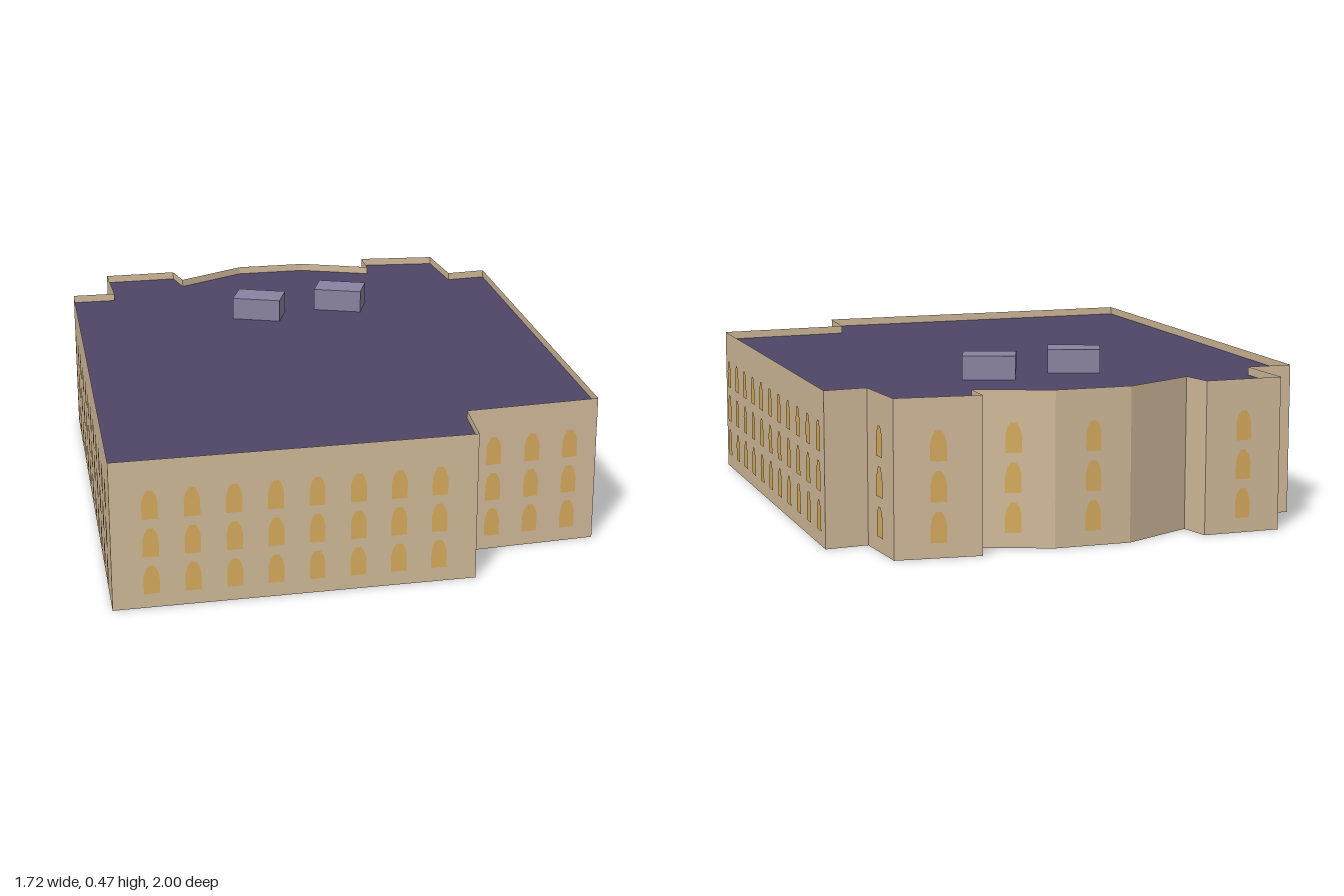
import * as THREE from 'three';

const WALL_TOP = 0.43, ROOF_Y = 0.407;

// Footprint corners [x, z, window columns on the wall that starts here]
const FOOTPRINT = [
  [-0.383, 0.995, 8], [0.558, 0.62, 1], [0.507, 0.452, 3], [0.862, 0.29, 11],
  [0.42, -0.878, 0], [0.31, -0.826, 1], [0.227, -1, 1], [-0.003, -0.938, 0],
  [0.03, -0.847, 1], [-0.193, -0.847, 1], [-0.396, -0.772, 0], [-0.48, -0.68, 0],
  [-0.553, -0.6, 0], [-0.604, -0.678, 1], [-0.812, -0.598, 1], [-0.738, -0.415, 0],
  [-0.862, -0.37, 12],
];

function makeMaterial(name, color, side = THREE.FrontSide) {
  const m = new THREE.MeshStandardMaterial({ color, side });
  m.name = name;
  return m;
}

function addMesh(parent, name, geometry, material) {
  const mesh = new THREE.Mesh(geometry, material);
  mesh.name = name;
  parent.add(mesh);
  return mesh;
}

// Arched window outline standing on its own sill
function windowGeometry() {
  const half = [[0.022, 0], [0.022, 0.049], [0.017, 0.068], [0.008, 0.083]];
  const left = half.map(([x, y]) => [-x, y]).reverse();
  const shape = new THREE.Shape([...half, ...left].map(([x, y]) => new THREE.Vector2(x, y)));
  return new THREE.ShapeGeometry(shape);
}

export function createModel() {
  const group = new THREE.Group();
  group.name = 'building';
  const wallMat = makeMaterial('sandstone', 0xd2bb9a, THREE.DoubleSide);
  const windowMat = makeMaterial('amber glass', 0xd8ac5e);
  const roofMat = makeMaterial('dark violet roof', 0x4f4566, THREE.DoubleSide);
  const unitMat = makeMaterial('grey violet', 0x8a82a0);
  const pane = windowGeometry();

  // Walls, each a single sheet with its grid of windows
  FOOTPRINT.forEach(([x, z, columns], i) => {
    const [x2, z2] = FOOTPRINT[(i + 1) % FOOTPRINT.length];
    const length = Math.hypot(x2 - x, z2 - z);
    const side = new THREE.Group();
    side.name = 'facade' + (i + 1);
    side.position.set((x + x2) / 2, 0, (z + z2) / 2);
    side.rotation.y = Math.atan2(z - z2, x2 - x);
    group.add(side);
    addMesh(side, 'wall', new THREE.PlaneGeometry(length, WALL_TOP), wallMat).position.y = WALL_TOP / 2;
    for (let c = 0; c < columns; c++) {
      for (let row = 0; row < 3; row++) {
        addMesh(side, 'window', pane, windowMat)
          .position.set((c - (columns - 1) / 2) * 0.114, 0.042 + row * 0.109, 0.003);
      }
    }
  });

  // Flat roof set a little below the wall tops
  const outline = new THREE.Shape(FOOTPRINT.map(([x, z]) => new THREE.Vector2(x, -z)));
  const roof = addMesh(group, 'roof', new THREE.ShapeGeometry(outline), roofMat);
  roof.rotation.x = -Math.PI / 2;
  roof.position.y = ROOF_Y;

  // Rooftop units
  const unitHeight = 0.475 - ROOF_Y;
  for (const [x, z] of [[-0.243, -0.347], [-0.005, -0.483]]) {
    addMesh(group, 'rooftopUnit', new THREE.BoxGeometry(0.15, unitHeight, 0.1), unitMat)
      .position.set(x, ROOF_Y + unitHeight / 2, z);
  }
  return group;
}
